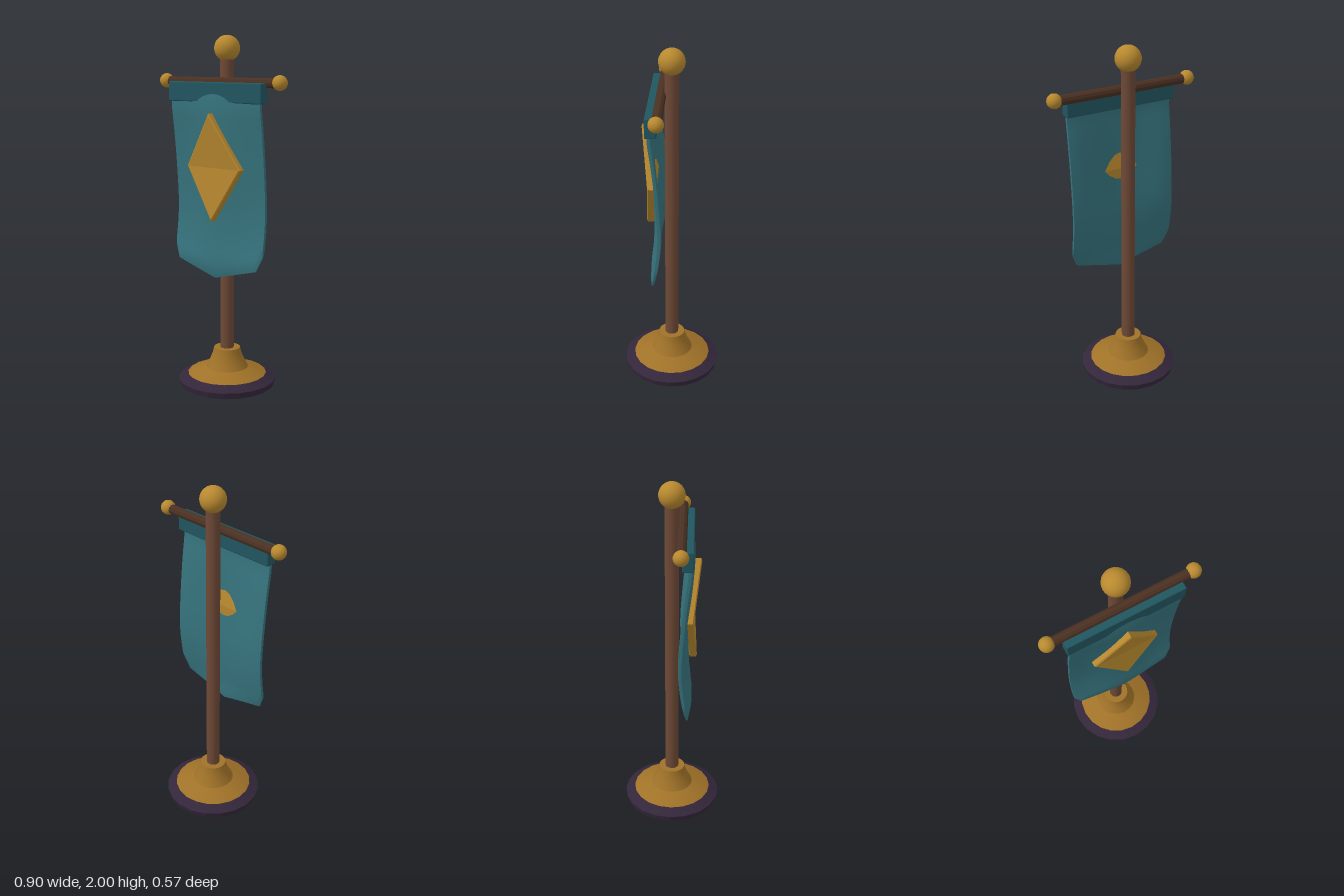
import * as THREE from 'three';
import { toCreasedNormals } from 'three/addons/utils/BufferGeometryUtils.js';
import { RoundedBoxGeometry } from 'three/addons/geometries/RoundedBoxGeometry.js';

const material = (name, color, extra = {}) => {
  const m = new THREE.MeshStandardMaterial({ color, ...extra });
  m.name = name;
  return m;
};

export function createModel() {
  const gold = material('gold', 0xb8892f);
  const oldGold = material('old gold', 0xa07228);
  const poleWood = material('pole wood', 0x6e4936);
  const darkWood = material('dark wood', 0x4a3022);
  const teal = material('teal cloth', 0x36737d);
  const darkTeal = material('dark teal', 0x215660);
  const plum = material('dark plum', 0x33263a);

  const model = new THREE.Group();
  model.name = 'standingBanner';
  const add = (name, geometry, mat, x = 0, y = 0, z = 0) => {
    const mesh = new THREE.Mesh(geometry, mat);
    mesh.name = name;
    mesh.position.set(x, y, z);
    model.add(mesh);
    return mesh;
  };
  const lathe = (points, sides) =>
    new THREE.LatheGeometry(points.map(([r, y]) => new THREE.Vector2(r, y)), sides);

  // Stepped foot
  add('baseRim', toCreasedNormals(lathe(
    [[0, 0], [0.275, 0], [0.283, 0.035], [0.23, 0.064], [0, 0.064]], 20), 0.25), plum);
  add('baseCollar', toCreasedNormals(lathe(
    [[0.23, 0.062], [0.222, 0.069], [0.13, 0.095], [0.122, 0.1], [0.1, 0.142],
      [0.084, 0.18], [0.076, 0.215], [0, 0.215]], 20), 0.5), oldGold);

  // Pole and its ball
  add('pole', new THREE.CylinderGeometry(0.039, 0.039, 1.7, 16), poleWood, 0, 1.04, 0);
  add('poleFinial', new THREE.SphereGeometry(0.072, 24, 16), gold, 0, 1.928, 0);

  // Crossbar with a ball at each end
  const bar = new THREE.CylinderGeometry(0.027, 0.027, 0.78, 10).toNonIndexed();
  bar.computeVertexNormals();
  bar.rotateZ(Math.PI / 2);
  add('crossbar', bar, darkWood, 0, 1.745, 0.056);
  for (const side of [-1, 1]) {
    add(side > 0 ? 'leftBarFinial' : 'rightBarFinial',
      new THREE.SphereGeometry(0.041, 20, 14), gold, side * 0.408, 1.747, 0.056);
  }

  // Sleeve over the top of the cloth
  add('bannerSleeve', new RoundedBoxGeometry(0.666, 0.11, 0.062, 1, 0.007), darkTeal, 0, 1.69, 0.091);

  // Rippled cloth: a thin box bent along a side curve, bulging forward at the middle
  const drape = new THREE.CatmullRomCurve3([
    [1.7, 0.105], [1.6, 0.108], [1.5, 0.099], [1.28, 0.082], [1.02, 0.068],
    [0.85, 0.08], [0.73, 0.097], [0.63, 0.094],
  ].map(([y, z]) => new THREE.Vector3(0, y, z))).getPoints(80);
  const drapeZ = (y) => {
    const i = Math.max(1, drape.findIndex((p) => p.y <= y));
    const a = drape[i - 1], b = drape[i];
    return THREE.MathUtils.mapLinear(y, a.y, b.y, a.z, b.z);
  };
  const hem = (x) => {
    const d = Math.abs(x);
    return d < 0.285 ? 0.648 + 0.077 * d / 0.285 : 0.725 + 0.08 * (d - 0.285) / 0.035;
  };
  const cloth = new THREE.BoxGeometry(0.64, 1, 1, 18, 28, 1);
  const p = cloth.attributes.position;
  for (let i = 0; i < p.count; i++) {
    const x = p.getX(i), v = p.getY(i) + 0.5;
    const y = THREE.MathUtils.lerp(hem(x), 1.69, v);
    const bulge = 0.004 + 0.014 * Math.sin(Math.PI * THREE.MathUtils.clamp((y - 0.68) / 1, 0, 1));
    const edge = v < 0.01 ? 0.35 : Math.abs(x) > 0.319 ? 0.7 : 1;
    p.setXYZ(i, x, y,
      drapeZ(y) + bulge * Math.cos(2 * Math.PI * x / 0.64) + p.getZ(i) * 0.024 * edge);
  }
  add('bannerCloth', toCreasedNormals(cloth, 0.7), teal);

  // Bevelled diamond, folded along its horizontal middle
  let diamond = lathe([[0, -0.044], [0.97, -0.044], [1, -0.038], [1, -0.007], [0.955, 0], [0, 0]], 4);
  diamond.rotateX(Math.PI / 2);
  diamond.scale(0.193, 0.302, 1);
  const d = diamond.attributes.position;
  for (let i = 0; i < d.count; i++) {
    const y = d.getY(i);
    d.setZ(i, d.getZ(i) + 0.123 + (y > 0 ? 0.14 * y : -0.065 * y));
  }
  diamond = diamond.toNonIndexed();
  diamond.computeVertexNormals();
  add('diamondEmblem', diamond, gold, 0, 1.276, 0);

  return model;
}
